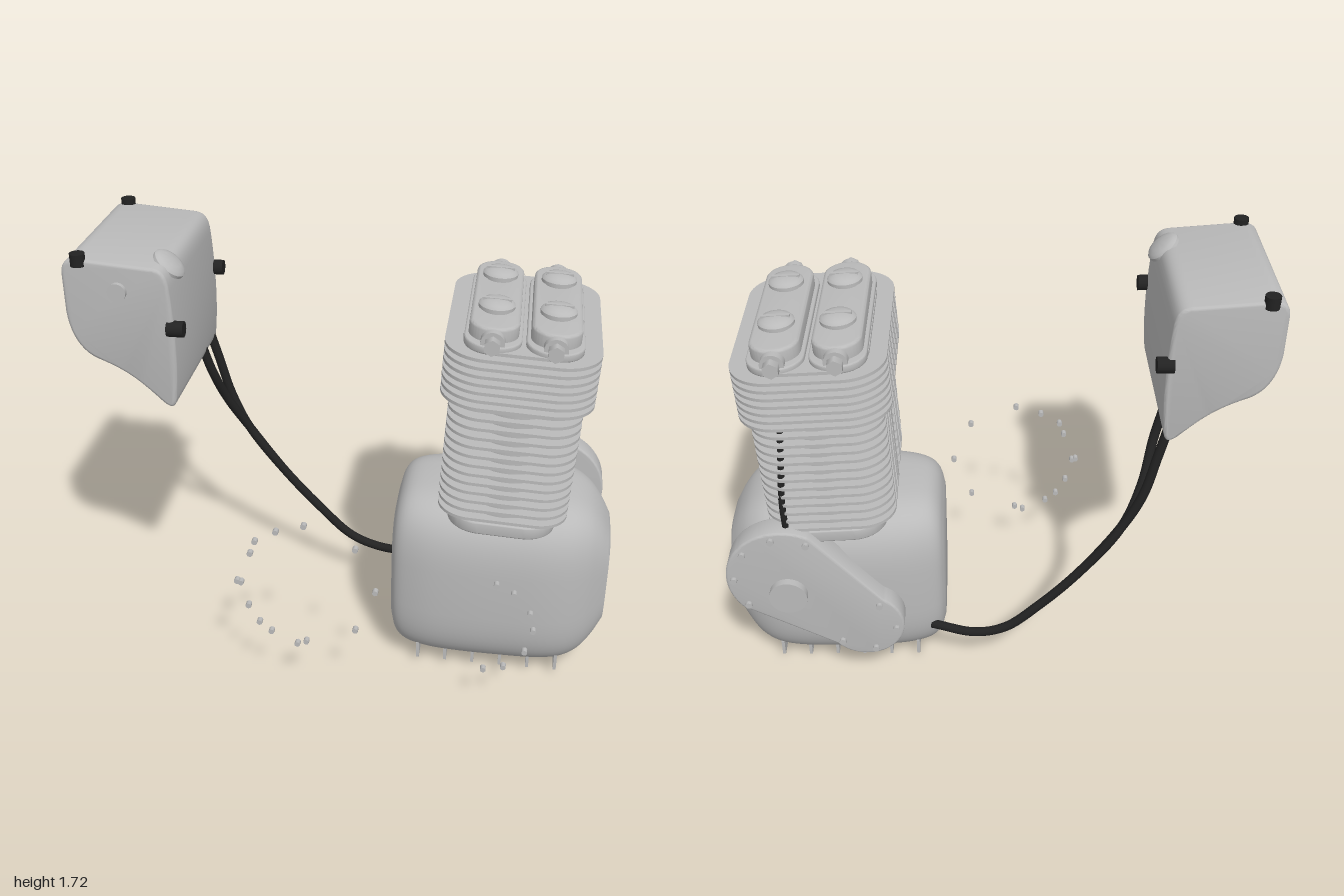
import * as THREE from 'three';
import { toCreasedNormals } from 'three/addons/utils/BufferGeometryUtils.js';

const CZ = -0.03; // depth of the engine's centre plane

export function createModel() {
  const metal = new THREE.MeshStandardMaterial({ color: 0xbababa });
  metal.name = 'grey metal';
  const rubber = new THREE.MeshStandardMaterial({ color: 0x222222 });
  rubber.name = 'black rubber';
  const model = new THREE.Group();
  model.name = 'engineWithOilTank';

  const add = (parent, name, geo, x = 0, y = 0, z = 0, mat = metal) => {
    const m = new THREE.Mesh(geo, mat);
    m.name = name;
    m.position.set(x, y, z);
    parent.add(m);
    return m;
  };
  const cyl = (r, h, axis = 'y', n = 24) => {
    const g = new THREE.CylinderGeometry(r, r, h, n);
    if (axis === 'x') g.rotateZ(Math.PI / 2);
    if (axis === 'z') g.rotateX(Math.PI / 2);
    return g;
  };
  const extrude = (shape, depth, bevel = 0, curveSegments = 10) => toCreasedNormals(
    new THREE.ExtrudeGeometry(shape, {
      depth: depth - 2 * bevel, bevelEnabled: bevel > 0, bevelSize: bevel,
      bevelThickness: bevel, bevelOffset: -bevel, bevelSegments: 3, curveSegments,
    }).translate(0, 0, bevel), 0.6);

  // Rounded plan outline, optionally notched in the middle of both long sides
  const plan = (hx, hz, r, notch = 0) => {
    const s = new THREE.Shape();
    const side = (k) => {
      if (!notch) return;
      s.lineTo(k * hx, -k * 0.045);
      s.lineTo(k * (hx - notch), -k * 0.03);
      s.lineTo(k * (hx - notch), k * 0.03);
      s.lineTo(k * hx, k * 0.045);
    };
    const q = Math.PI / 2;
    s.absarc(hx - r, -hz + r, r, -q, 0);
    side(1);
    s.absarc(hx - r, hz - r, r, 0, q);
    s.absarc(-hx + r, hz - r, r, q, 2 * q);
    side(-1);
    s.absarc(-hx + r, -hz + r, r, 2 * q, 3 * q);
    s.closePath();
    return s;
  };
  const slab = (shape, h, bevel = 0) => extrude(shape, h, bevel).rotateX(-Math.PI / 2);

  // Crankcase: rounded sections lofted along x
  add(model, 'crankcase', crankcaseGeometry());
  for (let i = 0; i < 6; i++)
    add(model, 'sumpFin', new THREE.BoxGeometry(0.012, 0.07, 0.46), 0.28 + i * 0.11, 0.065, CZ);
  add(model, 'drainPlug', cyl(0.027, 0.05, 'y', 6), 0.555, 0.026, CZ);

  // Rear cover: hull of a large and a small circle
  const big = [0.76, 0.57, 0.22], small = [0.47, 0.33, 0.15];
  const th = Math.atan2(big[1] - small[1], big[0] - small[0]);
  const ph = Math.acos((big[2] - small[2]) / Math.hypot(big[0] - small[0], big[1] - small[1]));
  const hull = new THREE.Shape();
  hull.absarc(...big, th - ph, th + ph);
  hull.absarc(...small, th + ph, th - ph + 2 * Math.PI);
  hull.closePath();
  add(model, 'rearCover', extrude(hull, 0.1, 0.008, 24), 0, 0, -0.41);
  add(model, 'rearCoverHub', cyl(0.072, 0.04, 'z', 32), 0.75, 0.5, -0.42);
  const coverScrew = (c, a) => add(model, 'coverScrew', cyl(0.013, 0.02, 'z', 10),
    c[0] + (c[2] - 0.03) * Math.cos(a), c[1] + (c[2] - 0.03) * Math.sin(a), -0.414);
  for (let i = 0; i < 5; i++) coverScrew(big, th - ph + (i / 4) * 2 * ph);
  for (let i = 0; i < 4; i++) coverScrew(small, th + ph + (i / 3) * 2 * (Math.PI - ph));

  // Free-standing cover screws in front of the case
  [[-0.13, 0.78], [-0.235, 0.745], [-0.315, 0.695], [-0.335, 0.64], [-0.39, 0.51], [-0.375, 0.505],
    [-0.35, 0.4], [-0.31, 0.325], [-0.265, 0.285], [-0.165, 0.235], [-0.13, 0.25], [0.06, 0.695],
    [0.135, 0.51], [0.06, 0.325], [0.58, 0.59], [0.645, 0.555], [0.71, 0.47], [0.725, 0.395],
    [0.7, 0.295], [0.625, 0.215], [0.55, 0.195],
  ].forEach(([x, y]) => add(model, 'frontScrew', cyl(0.011, 0.022, 'z', 10), x, y, 0.43));

  // Barrel and head, leaning slightly; heights are measured from the base flange
  const top = new THREE.Group();
  top.name = 'cylinderBlock';
  top.position.set(0.575, 0.72, CZ);
  top.rotation.z = -0.052;
  model.add(top);
  add(top, 'baseFlange', slab(plan(0.2, 0.34, 0.12), 0.05, 0.006));
  add(top, 'barrelCore', new THREE.BoxGeometry(0.26, 0.56, 0.36), 0, 0.28, 0);
  for (const s of [-1, 1]) {
    add(top, 'barrel', cyl(0.155, 0.56, 'y', 40), 0, 0.28, s * 0.165);
    add(top, 'pushrodTube', cyl(0.025, 0.52), s * 0.213, 0.29, 0);
  }
  const barrelFin = slab(plan(0.24, 0.347, 0.12, 0.07), 0.012);
  for (let i = 0; i < 13; i++) add(top, 'barrelFin', barrelFin, 0, 0.06 + i * 0.0375, 0);
  add(top, 'headCore', slab(plan(0.21, 0.35, 0.14), 0.22), 0, 0.525, 0);
  const headFin = slab(plan(0.272, 0.388, 0.15), 0.012);
  for (let i = 0; i < 7; i++) add(top, 'headFin', headFin, 0, 0.535 + i * 0.031, 0);

  // Two rocker covers with slotted caps and end nuts
  const rocker = slab(plan(0.087, 0.315, 0.086), 0.09, 0.012);
  const rockerFoot = slab(plan(0.1, 0.35, 0.095), 0.03, 0.005);
  const cap = toCreasedNormals(new THREE.LatheGeometry([[0.052, 0], [0.052, 0.012], [0.064, 0.014],
    [0.064, 0.026], [0.055, 0.036], [0.035, 0.043], [0, 0.046]].map((p) => new THREE.Vector2(...p)), 32), 0.6);
  for (const x of [-0.107, 0.107]) {
    add(top, 'rockerFoot', rockerFoot, x, 0.733, 0);
    add(top, 'rockerCover', rocker, x, 0.725, 0);
    for (const s of [-1, 1]) {
      add(top, 'valveCap', cap, x, 0.81, s * 0.145);
      add(top, 'valveCapGrip', new THREE.BoxGeometry(0.1, 0.014, 0.014), x, 0.85, s * 0.145);
      add(top, 'shaftBoss', cyl(0.042, 0.05, 'z'), x, 0.77, s * 0.315);
      add(top, 'shaftNut', cyl(0.03, 0.08, 'z', 6), x, 0.77, s * 0.335);
    }
  }

  // Oil tank: side profile extruded across z
  const tank = new THREE.Shape();
  tank.moveTo(-0.94, 1.7);
  tank.bezierCurveTo(-0.98, 1.7, -1, 1.68, -1, 1.64);
  tank.lineTo(-1, 1.5);
  tank.bezierCurveTo(-0.995, 1.41, -0.96, 1.345, -0.9, 1.32);
  tank.bezierCurveTo(-0.8, 1.28, -0.76, 1.25, -0.67, 1.16);
  tank.bezierCurveTo(-0.64, 1.135, -0.625, 1.14, -0.62, 1.18);
  tank.bezierCurveTo(-0.605, 1.3, -0.605, 1.45, -0.617, 1.6);
  tank.bezierCurveTo(-0.622, 1.66, -0.64, 1.677, -0.68, 1.68);
  tank.closePath();
  add(model, 'oilTank', extrude(tank, 0.61, 0.012), 0, 0, -0.34);
  add(model, 'tankPlug', cyl(0.033, 0.03, 'z'), -0.8, 1.59, 0.272);
  const filler = new THREE.Group();
  filler.name = 'tankFiller';
  filler.position.set(-0.655, 1.64, 0.155);
  filler.rotation.z = -0.72;
  model.add(filler);
  add(filler, 'fillerNeck', cyl(0.04, 0.05), 0, 0, 0);
  add(filler, 'fillerCap', cap, 0, 0, 0);
  for (const z of [0.26, -0.328]) {
    add(model, 'topMount', cyl(0.027, 0.045), -0.936, 1.697, z, rubber);
    add(model, 'sideMount', cyl(0.029, 0.06, 'x'), -0.604, 1.455, z, rubber);
  }

  // Hoses and the rear oil line
  const tube = (name, r, pts) => add(model, name, new THREE.TubeGeometry(
    new THREE.CatmullRomCurve3(pts.map((p) => new THREE.Vector3(...p))), 80, r, 12), 0, 0, 0, rubber);
  const run = [[-0.5, 0.745, -0.327], [-0.35, 0.53, -0.336], [-0.2, 0.36, -0.336],
    [-0.07, 0.24, -0.33], [0.05, 0.2, -0.315], [0.22, 0.21, -0.275]];
  tube('feedHose', 0.018, [[-0.64, 1.18, -0.31], [-0.61, 1.06, -0.32], [-0.57, 0.9, -0.33], ...run]);
  tube('returnHose', 0.018, [[-0.64, 1.18, -0.18], [-0.61, 1.06, -0.2], [-0.57, 0.9, -0.27], ...run]);
  tube('rearOilLine', 0.012, [[0.72, 1.27, -0.34], [0.735, 1.05, -0.352], [0.745, 0.9, -0.36], [0.74, 0.74, -0.365]]);
  return model;
}

// Rounded-rectangle rings along x, closed by a flat face at each end
function crankcaseGeometry() {
  const N = 64, M = 40;
  // x, half depth, bottom, top
  const rows = [[0.165, 0.2, 0.15, 0.65], [0.185, 0.24, 0.09, 0.715], [0.23, 0.267, 0.053, 0.755],
    [0.32, 0.293, 0.04, 0.77], [0.45, 0.307, 0.038, 0.773], [0.6, 0.31, 0.038, 0.773], [0.74, 0.305, 0.038, 0.771],
    [0.84, 0.283, 0.045, 0.76], [0.91, 0.245, 0.075, 0.725], [0.96, 0.2, 0.13, 0.67], [1, 0.156, 0.2, 0.6]];
  const curve = (f) => new THREE.CatmullRomCurve3(rows.map(f), false, 'catmullrom');
  const size = curve((r) => new THREE.Vector3(r[1], r[2], r[3]));
  const along = curve((r) => new THREE.Vector3(r[0], 0, 0));
  const round = (v) => Math.sign(v) * Math.abs(v) ** (2 / 3.5);
  const pos = [], idx = [];
  for (let i = 0; i <= M; i++) {
    const s = size.getPoint(i / M), x = along.getPoint(i / M).x;
    for (let j = 0; j < N; j++) {
      const a = (j / N) * Math.PI * 2;
      pos.push(x, (s.y + s.z) / 2 + ((s.z - s.y) / 2) * round(Math.sin(a)), CZ + s.x * round(Math.cos(a)));
    }
  }
  pos.push(0.165, 0.4, CZ, 1, 0.4, CZ);
  const c0 = (M + 1) * N;
  for (let j = 0; j < N; j++) {
    const k = (j + 1) % N;
    for (let i = 0; i < M; i++) {
      const a = i * N + j, b = a + N, c = i * N + k, d = c + N;
      idx.push(a, b, c, c, b, d);
    }
    idx.push(c0, j, k, c0 + 1, M * N + k, M * N + j);
  }
  const g = new THREE.BufferGeometry();
  g.setAttribute('position', new THREE.Float32BufferAttribute(pos, 3));
  g.setIndex(idx);
  return toCreasedNormals(g, 0.6);
}
